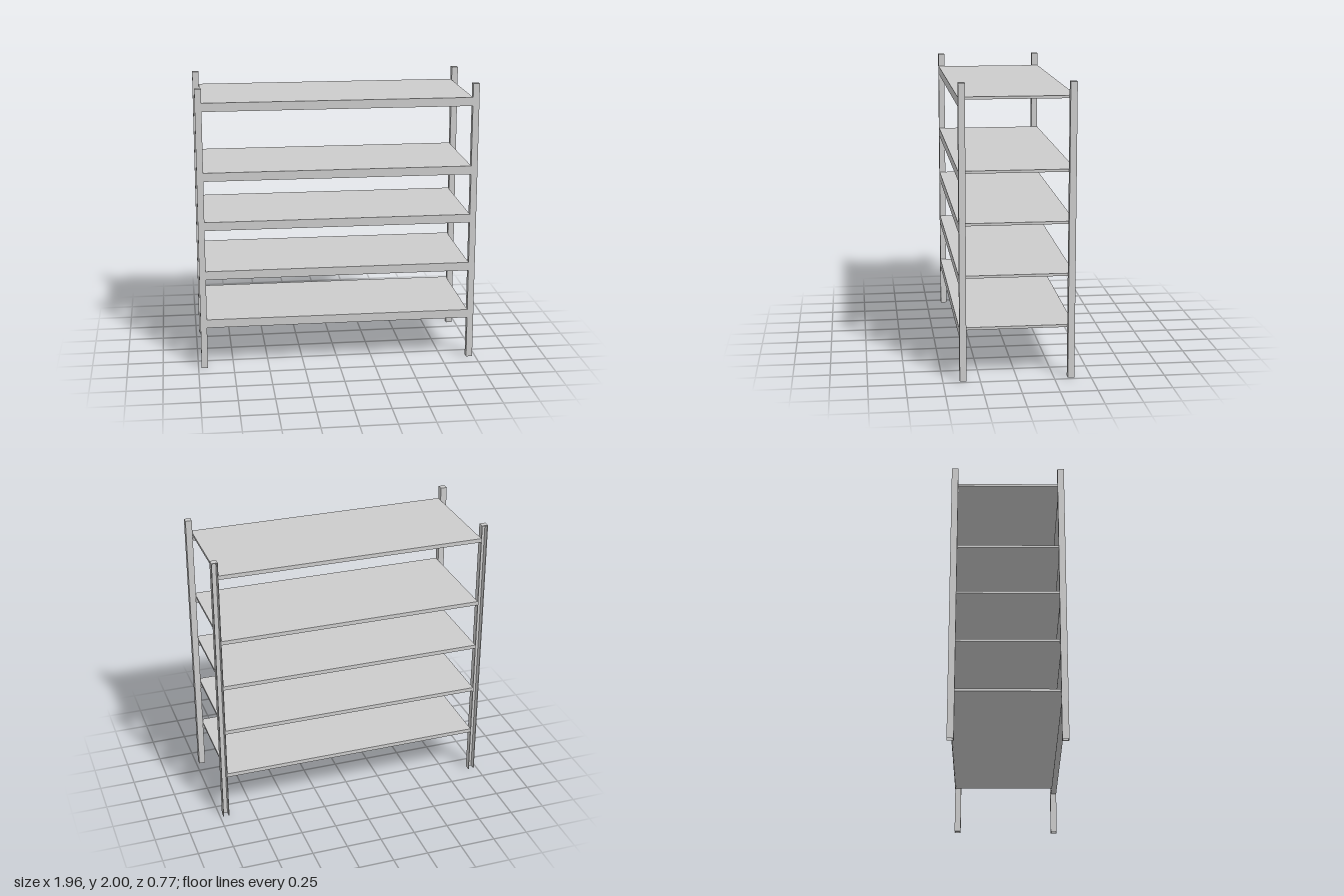
import * as THREE from 'three';

const HEIGHT = 2, POST_W = 0.045, WALL = 0.005;
const HALF_X = 0.978, HALF_Z = 0.387;
const SHELF_TOPS = [0.36, 0.715, 1.07, 1.42, 1.905];

const metal = new THREE.MeshStandardMaterial({ color: 0xcccccc, flatShading: true });

function polygon(points) {
  return new THREE.Shape(points.map(([x, y]) => new THREE.Vector2(x, y)));
}

function extrude(shape, depth) {
  return new THREE.ExtrudeGeometry(shape, { depth, bevelEnabled: false });
}

function addMesh(parent, name, geometry) {
  const mesh = new THREE.Mesh(geometry, metal);
  mesh.name = name;
  parent.add(mesh);
  return mesh;
}

// Hollow upright closed by a cap; channels are open on their back face
function createPost(name, isChannel) {
  const post = new THREE.Group();
  post.name = name;
  const a = POST_W / 2, b = a - WALL;
  let section;
  if (isChannel) {
    section = polygon([[-a, -a], [a, -a], [a, a], [b, a], [b, -b], [-b, -b], [-b, a], [-a, a]]);
  } else {
    section = polygon([[-a, -a], [a, -a], [a, a], [-a, a]]);
    section.holes.push(polygon([[-b, -b], [-b, b], [b, b], [b, -b]]));
  }
  // Shape y becomes -z, extrusion becomes height
  addMesh(post, 'postWalls', extrude(section, HEIGHT - WALL).rotateX(-Math.PI / 2));
  addMesh(post, 'postCap', new THREE.BoxGeometry(POST_W, WALL, POST_W)).position.y = HEIGHT - WALL / 2;
  return post;
}

// Shelf cross-section: thin deck, deep front lip and shallow back lip
function createShelfGeometry() {
  const f = HALF_Z, t = 0.018, lip = 0.06, back = 0.028, r = 0.04;
  const profile = polygon([
    [-f, 0], [-f, -lip], [-f + r, -lip], [-f + r, -lip + WALL], [-f + WALL, -lip + WALL],
    [-f + WALL, -t], [f - WALL, -t], [f - WALL, -back], [f, -back], [f, 0],
  ]);
  const length = 2 * (HALF_X - POST_W);
  // Shape x becomes -z, extrusion becomes length
  return extrude(profile, length).translate(0, 0, -length / 2).rotateY(Math.PI / 2);
}

export function createModel() {
  const rack = new THREE.Group();
  rack.name = 'shelvingRack';

  // Four corner posts
  for (const [side, sx] of [['Left', 1], ['Right', -1]]) {
    for (const [end, sz] of [['front', 1], ['back', -1]]) {
      const post = createPost(`${end}${side}Post`, sz < 0);
      post.position.set(sx * (HALF_X - POST_W / 2), 0, sz * (HALF_Z - POST_W / 2));
      rack.add(post);
    }
  }

  // Shelves
  const shelfGeometry = createShelfGeometry();
  SHELF_TOPS.forEach((y, i) => {
    addMesh(rack, `shelf${i + 1}`, shelfGeometry).position.y = y;
  });
  return rack;
}
